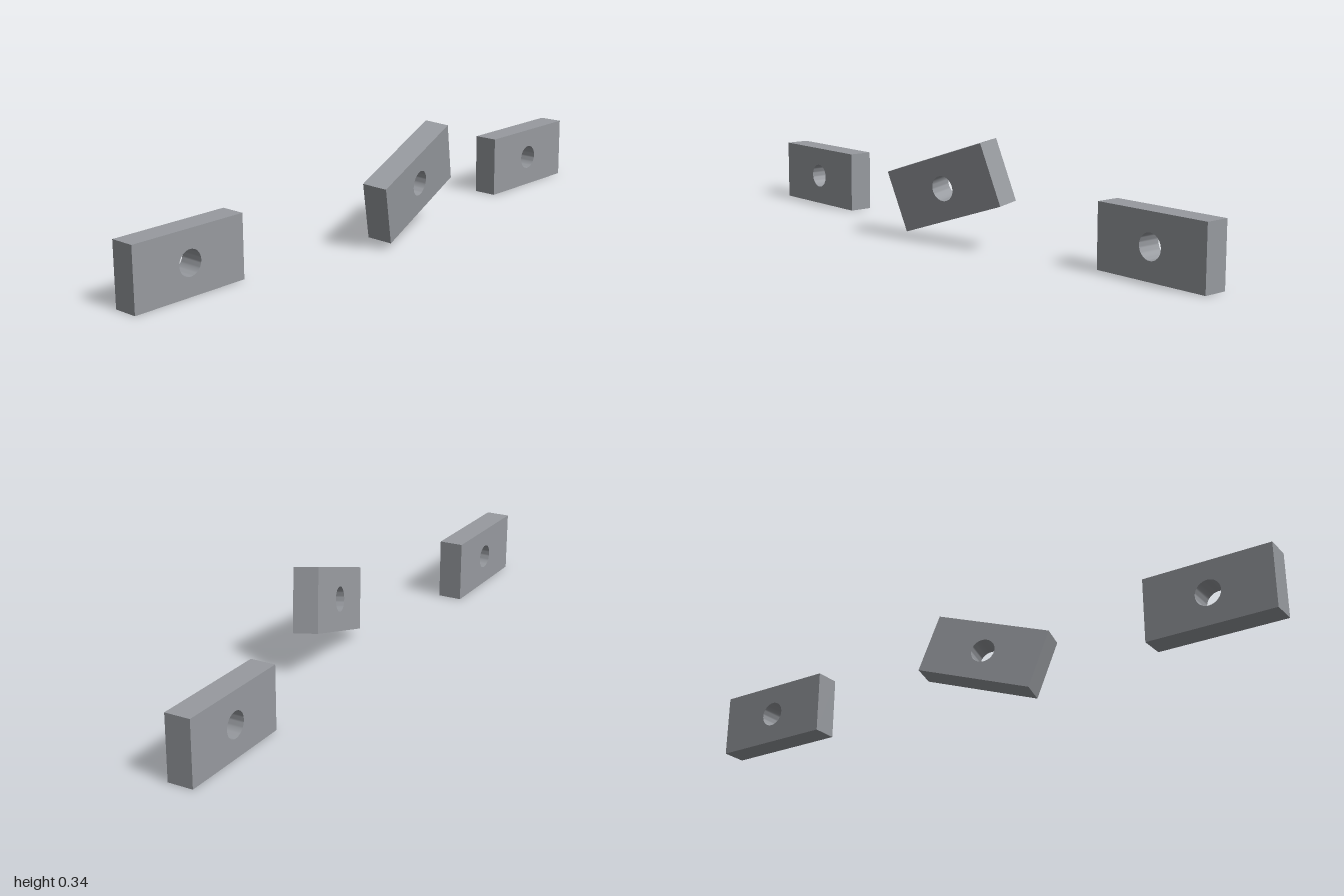
import * as THREE from 'three';
import { toCreasedNormals } from 'three/addons/utils/BufferGeometryUtils.js';

const WIDTH = 0.4, HEIGHT = 0.2, DEPTH = 0.08, HOLE_RADIUS = 0.04;

// Rectangular block with a round through-hole, centred on its origin
function blockGeometry() {
  const w = WIDTH / 2, h = HEIGHT / 2;
  const outline = new THREE.Shape([
    new THREE.Vector2(-w, -h), new THREE.Vector2(w, -h),
    new THREE.Vector2(w, h), new THREE.Vector2(-w, h),
  ]);
  outline.holes.push(new THREE.Path().absarc(0, 0, HOLE_RADIUS, 0, Math.PI * 2, true));
  const geometry = new THREE.ExtrudeGeometry(outline, { depth: DEPTH, bevelEnabled: false, curveSegments: 24 });
  geometry.translate(0, 0, -DEPTH / 2);
  return toCreasedNormals(geometry, 0.6);
}

export function createModel() {
  const model = new THREE.Group();
  model.name = 'drilledBlocks';
  const geometry = blockGeometry();
  const material = new THREE.MeshStandardMaterial({ color: 0x979a9f });

  function addBlock(name, position, rotation = [0, 0, 0]) {
    const block = new THREE.Mesh(geometry, material);
    block.name = name;
    block.position.set(...position);
    block.rotation.set(...rotation);
    model.add(block);
  }

  // Two upright blocks and a tilted one between them
  addBlock('rightBlock', [-0.8, 0.1, -0.083]);
  addBlock('leftBlock', [0.8, 0.1, -0.083]);
  addBlock('tiltedBlock', [0.04, 0.18, 0.037], [0.1, 0.2, 0.3]);
  return model;
}
